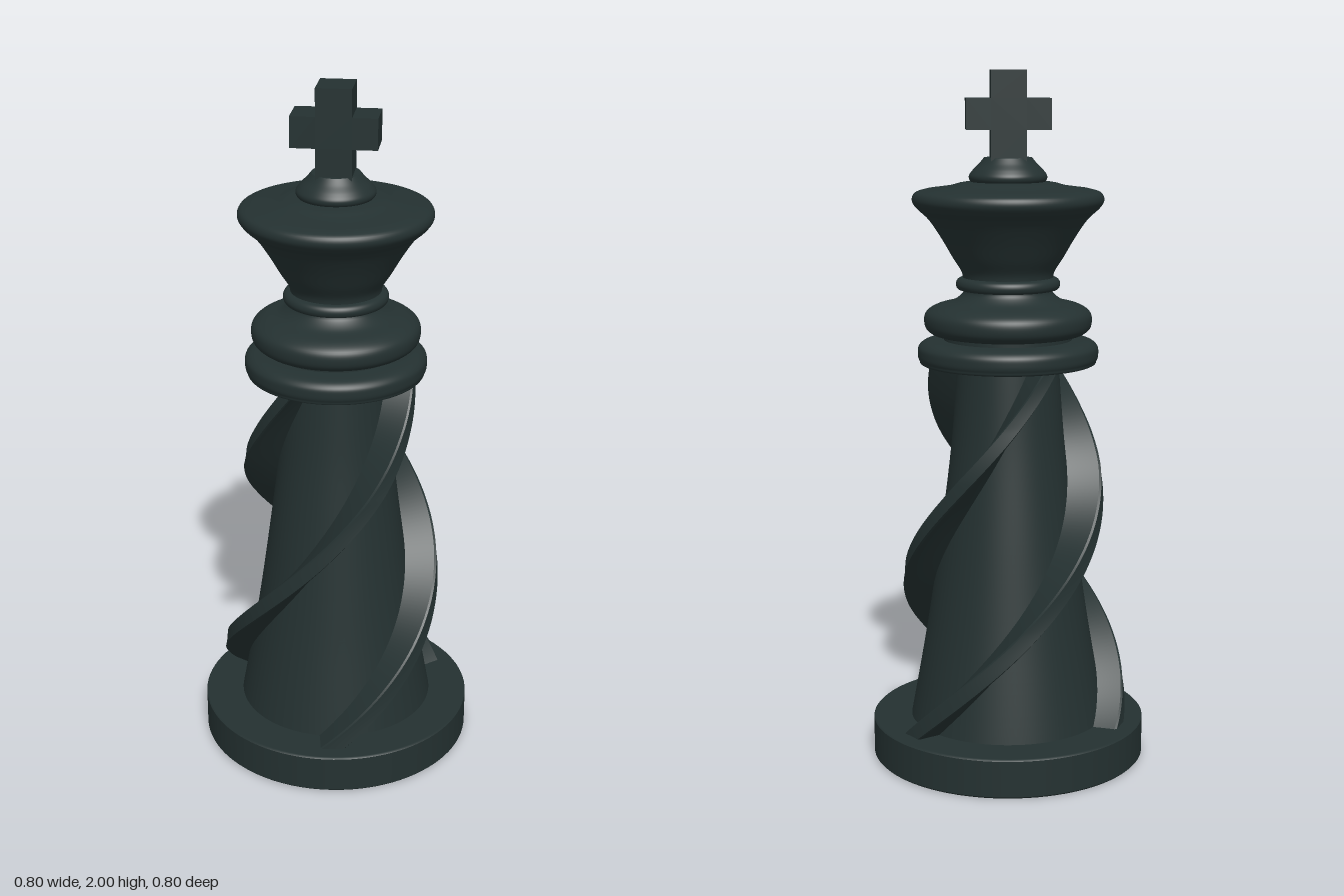
import * as THREE from 'three';

const ebony = new THREE.MeshStandardMaterial({ color: 0x243131 });
ebony.name = 'dark ebony';

const v2 = (pairs) => pairs.map(([x, y]) => new THREE.Vector2(x, y));

function add(parent, name, geometry) {
  const mesh = new THREE.Mesh(geometry, ebony);
  mesh.name = name;
  parent.add(mesh);
  return mesh;
}

// Turned part: profile as [radius, height] from bottom to top
function turned(parent, name, pairs) {
  return add(parent, name, new THREE.LatheGeometry(v2(pairs), 96));
}

// Turned part with a smooth curve through the profile points
function turnedSmooth(parent, name, pairs, steps = 40) {
  const pts = new THREE.SplineCurve(v2(pairs)).getPoints(steps);
  pts.forEach((p) => { p.x = Math.max(p.x, 0); });
  return add(parent, name, new THREE.LatheGeometry(pts, 96));
}

// Linear lookup of a radius by height
function radiusAt(table, y) {
  for (let i = 1; i < table.length; i++) {
    const [r0, y0] = table[i - 1], [r1, y1] = table[i];
    if (y <= y1) return THREE.MathUtils.mapLinear(y, y0, y1, r0, r1);
  }
  return table[table.length - 1][0];
}

const CORE = [[0.29, 0.1], [0.24, 0.38], [0.2, 0.65], [0.165, 0.93], [0.145, 1.19]];
const FIN = [[0.357, 0.1], [0.335, 0.28], [0.315, 0.45], [0.3, 0.6], [0.27, 0.87], [0.245, 1.02], [0.223, 1.19]];

// Helical fin: a tapered section swept up the core while turning
function finGeometry(startDeg) {
  const rows = 120, y0 = 0.1, y1 = 1.19, rate = -193;
  // [angle offset in degrees, 0 = inside the core, 1 = outer edge]
  const section = [[-9, 0], [-5.8, 0.94], [-5, 1], [5, 1], [5.8, 0.94], [9, 0]];
  const positions = [], index = [];
  for (let s = 0; s < section.length - 1; s++) {
    const base = positions.length / 3;
    for (let i = 0; i <= rows; i++) {
      const y = THREE.MathUtils.lerp(y0, y1, i / rows);
      const inner = radiusAt(CORE, y) * 0.94, outer = radiusAt(FIN, y);
      for (const [deg, t] of [section[s], section[s + 1]]) {
        const a = THREE.MathUtils.degToRad(startDeg + rate * (y - 0.115) + deg);
        const r = THREE.MathUtils.lerp(inner, outer, t);
        positions.push(r * Math.cos(a), y, r * Math.sin(a));
      }
      if (i < rows) {
        const a = base + i * 2;
        index.push(a, a + 2, a + 1, a + 1, a + 2, a + 3);
      }
    }
  }
  const g = new THREE.BufferGeometry();
  g.setAttribute('position', new THREE.Float32BufferAttribute(positions, 3));
  g.setIndex(index);
  g.computeVertexNormals();
  return g;
}

export function createModel() {
  const model = new THREE.Group();
  model.name = 'chessKing';

  // Round foot with slightly eased rims
  const foot = new THREE.Group();
  foot.name = 'base';
  model.add(foot);
  add(foot, 'baseDisc', new THREE.CylinderGeometry(0.4, 0.4, 0.105, 96, 1, true)).position.y = 0.0575;
  turned(foot, 'baseTop', [[0.4, 0.11], [0.395, 0.115], [0, 0.115]]);
  turned(foot, 'baseBottom', [[0, 0], [0.395, 0], [0.4, 0.005]]);

  // Tapering stem wrapped by three fins
  turnedSmooth(model, 'stem', CORE);
  for (let i = 0; i < 3; i++) add(model, 'spiralFin' + (i + 1), finGeometry(98 + i * 120));

  // Collars below the head
  turnedSmooth(model, 'lowerCollar', [[0.1, 1.168], [0.235, 1.168], [0.256, 1.182],
    [0.26, 1.203], [0.256, 1.222], [0.235, 1.236], [0.19, 1.24], [0.1, 1.242]]);
  turned(model, 'collarGap', [[0.185, 1.23], [0.185, 1.265]]);
  turnedSmooth(model, 'upperCollar', [[0.1, 1.25], [0.195, 1.252], [0.232, 1.268], [0.241, 1.295],
    [0.234, 1.32], [0.205, 1.338], [0.16, 1.35], [0.13, 1.372], [0.125, 1.39]]);
  turnedSmooth(model, 'neckRing', [[0.1, 1.382], [0.138, 1.383], [0.149, 1.395],
    [0.146, 1.41], [0.132, 1.418], [0.1, 1.42]]);

  // Flared head with a shallow domed top
  turnedSmooth(model, 'head', [[0.128, 1.405], [0.133, 1.435], [0.158, 1.475], [0.19, 1.53],
    [0.226, 1.583], [0.26, 1.615], [0.273, 1.637], [0.265, 1.658], [0.235, 1.668]]);
  turnedSmooth(model, 'headTop', [[0.235, 1.668], [0.17, 1.677], [0.12, 1.688], [0, 1.692]], 16);
  turnedSmooth(model, 'finialKnob', [[0.085, 1.682], [0.106, 1.69], [0.111, 1.705],
    [0.1, 1.722], [0.082, 1.74], [0.068, 1.757]]);
  turned(model, 'finialTop', [[0.068, 1.757], [0, 1.757]]);

  // Cross, turned slightly off the front
  const cross = new THREE.Group();
  cross.name = 'cross';
  cross.rotation.y = THREE.MathUtils.degToRad(-13.3);
  const d = 0.113;
  const outline = [[0.05, 1.74], [0.05, 1.835], [0.12, 1.835], [0.12, 1.922], [0.05, 1.922], [0.05, 2]];
  const mirrored = outline.map(([x, y]) => [-x, y]).reverse();
  const crossGeo = new THREE.ExtrudeGeometry(new THREE.Shape(v2([...outline, ...mirrored])),
    { depth: d, bevelEnabled: false });
  crossGeo.translate(0, 0, -d / 2);
  add(cross, 'crossBody', crossGeo);
  model.add(cross);

  return model;
}
